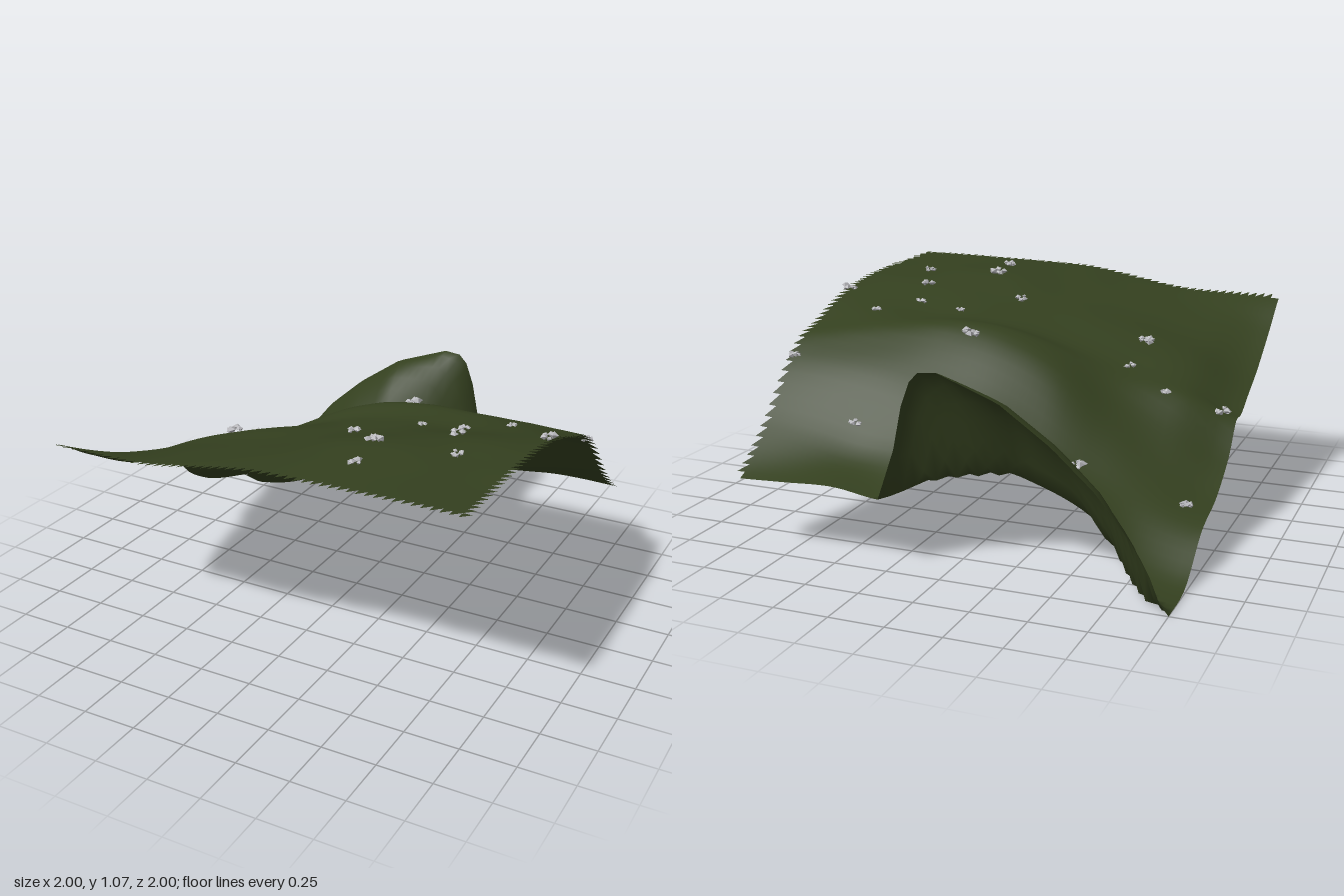
import * as THREE from 'three';
import { mergeGeometries } from 'three/addons/utils/BufferGeometryUtils.js';

// Ground heights: rows run z = -1..1, columns x = -1..1, both in steps of 0.25
const HEIGHTS = [
  [0.01, 0.05, 0.18, 0.28, 0.37, 0.33, 0.36, 0.35, 0.34],
  [0.03, 0.10, 0.28, 0.37, 0.42, 0.43, 0.44, 0.49, 0.52],
  [0.19, 0.25, 0.35, 0.48, 0.61, 0.69, 0.74, 0.77, 0.78],
  [0.26, 0.38, 0.55, 0.76, 0.87, 0.91, 0.91, 0.91, 0.90],
  [0.40, 0.58, 0.70, 0.81, 0.89, 0.93, 0.94, 0.97, 0.99],
  [0.55, 0.72, 0.82, 0.89, 0.93, 0.97, 1.01, 1.03, 1.03],
  [0.66, 0.78, 0.86, 0.92, 0.97, 1.03, 1.05, 1.04, 1.045],
  [0.80, 0.86, 0.91, 0.96, 1.01, 1.04, 1.045, 1.045, 1.045],
  [0.945, 0.945, 0.95, 0.99, 1.03, 1.04, 1.045, 1.05, 1.05],
];
// Raised back lip: x, crest height at z = -1, z where its foot meets the ground
const LIP = [
  [-0.98, 0.01, -1], [-0.92, 0.16, -0.95], [-0.86, 0.27, -0.91], [-0.69, 0.48, -0.74], [-0.5, 0.65, -0.68],
  [-0.27, 0.81, -0.68], [0, 0.91, -0.8], [0.1, 0.90, -0.86], [0.15, 0.80, -0.89], [0.2, 0.56, -0.92], [0.28, 0.33, -1],
];

// Smooth curve through evenly spaced values
function spline(v, u) {
  const i = Math.min(Math.floor(u), v.length - 2), t = u - i;
  const at = (k) => v[Math.max(0, Math.min(v.length - 1, k))];
  const [a, b, c, d] = [at(i - 1), at(i), at(i + 1), at(i + 2)];
  return b + 0.5 * t * (c - a + t * (2 * a - 5 * b + 4 * c - d + t * (3 * (b - c) + d - a)));
}

function groundHeight(x, z) {
  let y = spline(HEIGHTS.map((row) => spline(row, (x + 1) * 4)), (z + 1) * 4);
  // Ledge crossing the slope at an angle, strongest at the low side
  const off = (z - 0.08 + 0.23 * (x + 1)) / 0.075, side = (x + 1) / 0.25;
  y += (0.015 + 0.055 * Math.exp(-side * side)) * Math.exp(-off * off);
  const k = LIP.findIndex((p, i) => i > 0 && x >= LIP[i - 1][0] && x <= p[0]);
  if (k > 0) {
    const [p, q] = [LIP[k - 1], LIP[k]];
    const s = (x - p[0]) / (q[0] - p[0]);
    const crest = p[1] + s * (q[1] - p[1]), foot = p[2] + s * (q[2] - p[2]);
    if (z < foot) {
      const t = (foot - z) / (foot + 1);
      y += Math.max(0, crest - y) * (1 - Math.pow(1 - t, 2.2));
    }
  }
  return Math.max(0, y);
}

// Grid sheet with sawtooth right and front borders
function makeGround() {
  const n = 50, pos = [], index = [];
  for (let j = 0; j <= n; j++) {
    for (let i = 0; i <= n; i++) {
      const x = -1 + (2 * i) / n, z = -1 + (2 * j) / n;
      pos.push(x, groundHeight(x, z), z);
    }
  }
  for (let j = 0; j < n; j++) {
    for (let i = 0; i < n; i++) {
      const a = j * (n + 1) + i, b = a + 1, c = a + n + 1, d = c + 1;
      const missingTooth = (i === n - 1 && j === 0) || (j === n - 1 && i === 0);
      if (!missingTooth) index.push(a, c, b);
      if (i < n - 1 && j < n - 1) index.push(b, c, d);
    }
  }
  const g = new THREE.BufferGeometry();
  g.setAttribute('position', new THREE.Float32BufferAttribute(pos, 3));
  g.setIndex(index);
  g.computeVertexNormals();
  return g;
}

// Rock cluster: small angular stones around and on top of a centre
function makeRock(size, seed) {
  const rand = () => {
    seed = (seed * 16807) % 2147483647;
    return seed / 2147483647;
  };
  const stones = [];
  for (let i = 0; i < 6; i++) {
    const a = (i / 6) * Math.PI * 2 + rand();
    const r = size * (0.35 + 0.3 * rand());
    const g = new THREE.OctahedronGeometry(r, 0);
    g.rotateX(rand() * 3);
    g.rotateY(rand() * 3);
    g.scale(1, 0.7, 1);
    g.translate(Math.cos(a) * size * 0.6, size * (0.25 + 0.45 * rand()), Math.sin(a) * size * 0.6);
    stones.push(g);
  }
  return mergeGeometries(stones);
}

export function createModel() {
  const model = new THREE.Group();
  const grass = new THREE.MeshStandardMaterial({ name: 'grass green', color: 0x34401f, side: THREE.DoubleSide });
  const stone = new THREE.MeshStandardMaterial({ name: 'stone grey', color: 0xb8b8bc, flatShading: true });

  const ground = new THREE.Mesh(makeGround(), grass);
  ground.name = 'ground';
  model.add(ground);

  // Scattered rocks: x, z, size
  const rocks = [
    [0.14, -0.74, 0.028], [0.56, -0.67, 0.03], [-0.43, -0.48, 0.042], [0.16, -0.27, 0.042], [0.72, -0.13, 0.024],
    [0.355, 0.035, 0.022], [-0.935, 0.075, 0.038], [-0.52, 0.24, 0.04], [0.61, 0.22, 0.036], [0.35, 0.505, 0.042],
    [0.96, 0.045, 0.036], [-0.9, -0.39, 0.028], [-0.69, 0, 0.028], [-0.5, 0.05, 0.028], [0.96, -0.5, 0.03],
    [0.72, 0.47, 0.028], [0.39, 0.75, 0.03], [0.57, 0.05, 0.028], [0.14, 0.29, 0.03],
  ];
  const rockGroup = new THREE.Group();
  rockGroup.name = 'rocks';
  rocks.forEach(([x, z, size], i) => {
    const rock = new THREE.Mesh(makeRock(size, 101 + i * 37), stone);
    rock.name = 'rock';
    rock.position.set(x, groundHeight(x, z), z);
    rockGroup.add(rock);
  });
  model.add(rockGroup);
  return model;
}
